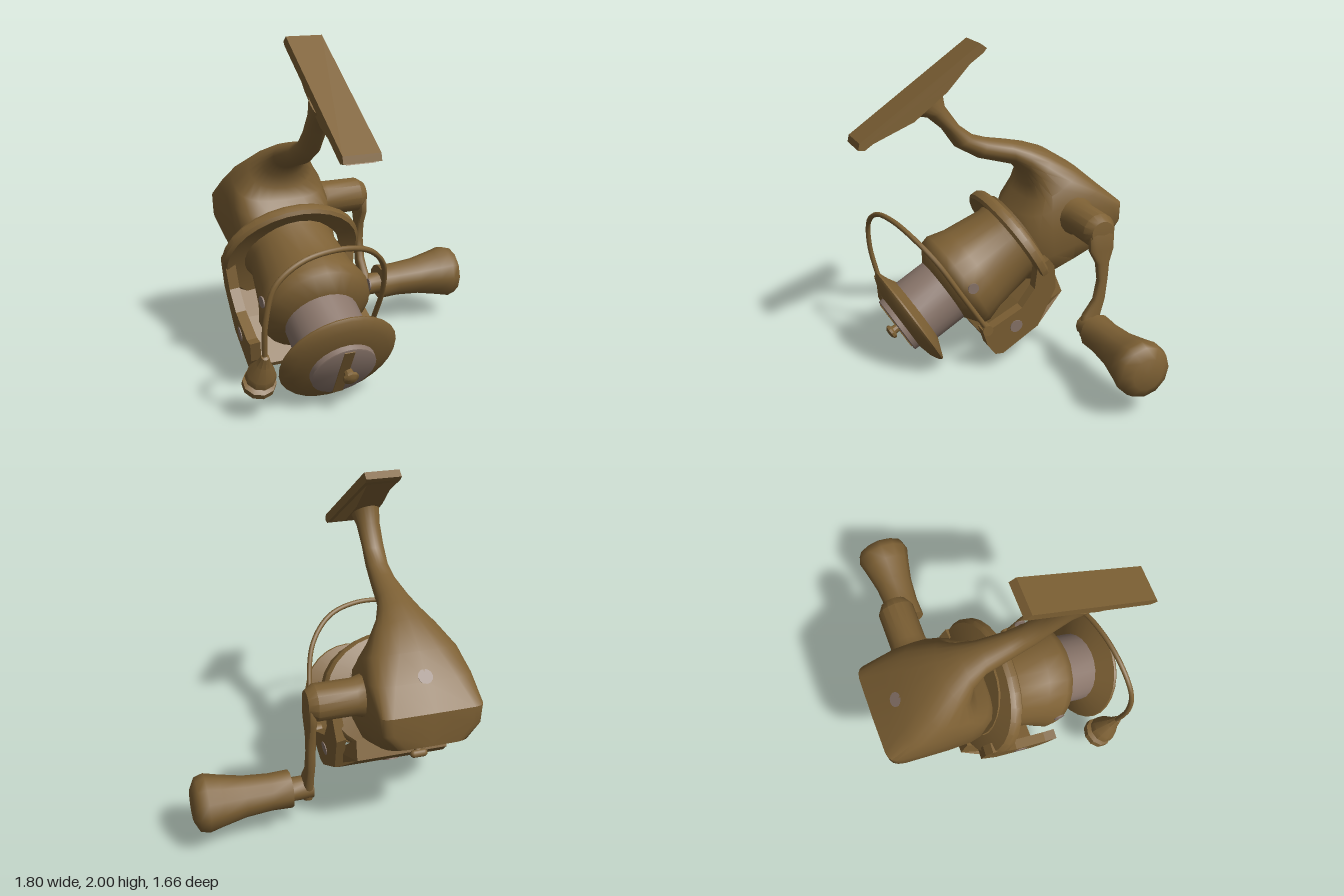
import * as THREE from 'three';
import { toCreasedNormals } from 'three/addons/utils/BufferGeometryUtils.js';

const CX = -0.37; // x of the reel's centre plane

const bronze = new THREE.MeshStandardMaterial({ color: 0x7d6034 });
bronze.name = 'bronze';
const silver = new THREE.MeshStandardMaterial({ color: 0x89756a });
silver.name = 'warm grey';

function add(parent, name, geometry, material = bronze) {
  const mesh = new THREE.Mesh(geometry, material);
  mesh.name = name;
  parent.add(mesh);
  return mesh;
}

// Revolved profile of [radius, height], height ascending along y
function lathe(profile, sides = 24, crease = 0.6) {
  const pts = profile.map(([r, h]) => new THREE.Vector2(r, h));
  return toCreasedNormals(new THREE.LatheGeometry(pts, sides), crease);
}

// Side profile of [z, y] extruded symmetrically along x
function sidePlate(points, width) {
  const shape = new THREE.Shape(points.map(([a, b]) => new THREE.Vector2(a, b)));
  const geo = new THREE.ExtrudeGeometry(shape, { depth: width, bevelEnabled: false });
  return geo.translate(0, 0, -width / 2).rotateY(-Math.PI / 2);
}

// Loft through levels [frontZ, frontY, backZ, backY, halfWidth, back squareness], bottom to top
function loft(levels, sides = 24, crease = 0.7) {
  const pos = [], index = [];
  const rounded = (c, n) => Math.sign(c) * Math.pow(Math.abs(c), 2 / n);
  for (const [fz, fy, bz, by, hw, n = 2] of levels) {
    for (let i = 0; i < sides; i++) {
      const a = (i / sides) * Math.PI * 2;
      const m = Math.cos(a) > 0 ? Math.min(n, 3) : n;
      const c = rounded(Math.cos(a), m), s = rounded(Math.sin(a), m);
      pos.push(hw * s, (fy + by) / 2 + ((fy - by) / 2) * c, (fz + bz) / 2 + ((fz - bz) / 2) * c);
    }
  }
  const last = levels.length - 1, bottom = pos.length / 3, top = bottom + 1;
  for (const l of [levels[0], levels[last]]) pos.push(0, (l[1] + l[3]) / 2, (l[0] + l[2]) / 2);
  for (let i = 0; i < sides; i++) {
    const j = (i + 1) % sides;
    for (let k = 0; k < last; k++) {
      const a = k * sides + i, b = k * sides + j, c = b + sides, d = a + sides;
      index.push(a, b, d, c, d, b);
    }
    index.push(bottom, j, i, top, last * sides + i, last * sides + j);
  }
  const geo = new THREE.BufferGeometry();
  geo.setAttribute('position', new THREE.Float32BufferAttribute(pos, 3));
  geo.setIndex(index);
  return toCreasedNormals(geo, crease);
}

// Thin round plate facing the given direction
function dot(parent, position, normal, radius = 0.043) {
  const mesh = add(parent, 'screwCap', new THREE.CylinderGeometry(radius, radius, 0.008, 12), silver);
  mesh.position.set(...position);
  mesh.quaternion.setFromUnitVectors(new THREE.Vector3(0, 1, 0), new THREE.Vector3(...normal).normalize());
}

function buildBody() {
  const body = new THREE.Group();
  body.name = 'body';
  body.position.x = CX;

  // Gear housing blending into the stem
  add(body, 'housingAndStem', loft([
    [-0.25, 0.43, -0.77, 0.69, 0.17, 3],
    [-0.18, 0.47, -0.83, 0.73, 0.25, 5],
    [-0.13, 0.60, -0.835, 0.83, 0.305, 9],
    [-0.11, 0.80, -0.835, 0.94, 0.308, 10],
    [-0.16, 0.92, -0.70, 1.06, 0.305, 5],
    [-0.23, 1.00, -0.57, 1.18, 0.275, 3],
    [-0.25, 1.07, -0.40, 1.29, 0.20, 2.2],
    [-0.24, 1.14, -0.27, 1.34, 0.14],
    [-0.18, 1.21, -0.15, 1.37, 0.10],
    [0.05, 1.28, -0.01, 1.40, 0.075],
    [0.20, 1.37, 0.08, 1.43, 0.066],
    [0.28, 1.49, 0.17, 1.50, 0.066],
    [0.37, 1.57, 0.26, 1.63, 0.07],
    [0.50, 1.60, 0.28, 1.75, 0.085],
  ]));

  // Rod mounting foot
  add(body, 'footPlate', sidePlate([
    [0.83, 1.455], [0.82, 1.495], [0.07, 2.0], [0.03, 1.97], [0.05, 1.945], [0.79, 1.45],
  ], 0.21)).position.x = 0.01;
  add(body, 'footRidge', sidePlate([
    [0.81, 1.445], [0.79, 1.47], [0.46, 1.68], [0.06, 1.95], [0.27, 1.73], [0.48, 1.575],
  ], 0.16)).position.x = 0.01;

  // Small switch lever under the housing
  const lever = add(body, 'switchLever', new THREE.CapsuleGeometry(0.02, 0.08, 4, 10));
  lever.position.set(0, 0.59, -0.61);
  lever.rotation.x = 0.9;
  const tip = add(body, 'switchTip', new THREE.CapsuleGeometry(0.022, 0.06, 4, 10));
  tip.position.set(0, 0.565, -0.645);
  tip.rotation.z = Math.PI / 2;

  dot(body, [0, 1.078, -0.675], [0, 0.74, -0.67]);
  return body;
}

// Everything that turns on the spool axis, built along z and tipped forward
function buildRotorAndSpool() {
  const g = new THREE.Group();
  g.name = 'rotorAndSpool';
  g.position.set(CX, 0.3, 0.53);
  g.rotation.x = Math.PI / 6;
  const axial = (profile, sides, crease) => lathe(profile, sides, crease).rotateX(Math.PI / 2);

  // Spool
  add(g, 'rotorDrum', axial([
    [0, -0.88], [0.29, -0.88], [0.265, -0.76], [0.3, -0.5], [0.332, -0.39],
    [0.318, -0.335], [0.216, -0.265], [0, -0.265],
  ], 24, 1.2));
  add(g, 'spoolCore', axial([[0, -0.3], [0.217, -0.3], [0.217, -0.04], [0, -0.04]]), silver);
  add(g, 'spoolLip', axial([
    [0.2, -0.065], [0.336, -0.008], [0.342, 0.002], [0.33, 0.018], [0.28, 0.044], [0.188, 0.065], [0, 0.065],
  ], 28));
  add(g, 'dragFace', axial([[0.19, 0.055], [0.188, 0.095], [0.18, 0.1], [0, 0.1]]), silver);
  add(g, 'dragBar', new THREE.BoxGeometry(0.06, 0.35, 0.02)).position.set(-0.005, 0, 0.096);
  add(g, 'dragButton', axial([[0.025, 0.1], [0.028, 0.13], [0.045, 0.14], [0.045, 0.155], [0.025, 0.168], [0, 0.17]], 10))
    .position.x = 0.02;

  // Oval rotor collar
  add(g, 'rotorCollar', axial([
    [0.25, -0.87], [0.345, -0.85], [0.362, -0.825], [0.362, -0.785], [0.345, -0.768], [0.3, -0.78], [0.25, -0.79],
  ], 28)).scale.x = 1.18;

  // Rotor arms, leaning inwards below
  const arm = sidePlate([
    [-0.29, -0.15], [-0.265, -0.28], [-0.275, -0.38], [-0.32, -0.415], [-0.6, -0.415], [-0.82, -0.25],
    [-0.88, -0.1], [-0.87, -0.03], [-0.78, -0.03], [-0.7, -0.15], [-0.57, -0.21], [-0.35, -0.19],
  ], 0.06);
  for (const side of [-1, 1]) {
    const mesh = add(g, 'rotorArm', arm);
    mesh.position.x = side * 0.387;
    mesh.rotation.z = -side * 0.14;
    dot(g, [side * 0.376, -0.3, -0.48], [side, -0.14, 0]);
    dot(g, [side * 0.327, 0.08, -0.395], [side, 0, 0.1], 0.035);
  }

  // Cover joining the arms underneath, narrower and thicker towards the back
  const cover = sidePlate([
    [-0.3, -0.415], [-0.3, -0.385], [-0.6, -0.31], [-0.88, -0.25], [-0.86, -0.375], [-0.62, -0.416],
  ], 0.69);
  const p = cover.attributes.position;
  for (let i = 0; i < p.count; i++) p.setX(i, p.getX(i) * (1 + Math.min(0, p.getZ(i) + 0.62) * 0.75));
  cover.computeVertexNormals();
  add(g, 'rotorCover', cover);
  dot(g, [0, -0.417, -0.6], [0, -1, 0], 0.05);

  // Line roller at the end of the bail
  add(g, 'lineRoller', lathe([
    [0, -0.15], [0.06, -0.145], [0.093, -0.12], [0.093, -0.085], [0.06, -0.075], [0.085, -0.05],
    [0.08, -0.01], [0.04, 0.07], [0.022, 0.13], [0, 0.14],
  ], 10)).position.x = -0.44;
  return g;
}

function buildBail() {
  const bail = new THREE.Group();
  bail.name = 'bail';
  const path = new THREE.CatmullRomCurve3([
    [-0.81, 0.40, 0.585], [-0.815, 0.62, 0.63], [-0.765, 0.81, 0.645], [-0.62, 0.915, 0.635], [-0.4, 0.945, 0.605],
    [-0.2, 0.90, 0.55], [-0.06, 0.77, 0.45], [0, 0.57, 0.33], [0.012, 0.33, 0.18],
  ].map((v) => new THREE.Vector3(...v)));
  add(bail, 'bailWire', new THREE.TubeGeometry(path, 48, 0.016, 8));
  const pivot = add(bail, 'bailPivot', new THREE.CylinderGeometry(0.035, 0.035, 0.06, 10));
  pivot.rotation.z = Math.PI / 2;
  pivot.position.set(0, 0.3, 0.165);
  return bail;
}

function buildHandle() {
  const handle = new THREE.Group();
  handle.name = 'handle';
  const sideways = (profile, sides, crease) => lathe(profile, sides, crease).rotateZ(-Math.PI / 2);

  // Shaft leaving the housing
  add(handle, 'handleShaft', sideways([
    [0.15, -0.14], [0.125, -0.08], [0.108, -0.02], [0.108, 0.2], [0.075, 0.25], [0, 0.257],
  ], 16)).position.set(0, 0.907, -0.492);

  // Crank arm
  add(handle, 'crankArm', loft([
    [-0.37, 0.235, -0.47, 0.235, 0.03, 3],
    [-0.355, 0.30, -0.485, 0.30, 0.034, 3],
    [-0.38, 0.38, -0.50, 0.38, 0.03, 3],
    [-0.45, 0.47, -0.525, 0.47, 0.028, 3],
    [-0.475, 0.60, -0.54, 0.60, 0.027, 3],
    [-0.46, 0.71, -0.548, 0.71, 0.027, 3],
    [-0.41, 0.80, -0.575, 0.80, 0.03, 3],
    [-0.41, 0.89, -0.575, 0.89, 0.03, 3],
    [-0.44, 0.97, -0.545, 0.97, 0.01, 3],
  ], 16)).position.x = 0.228;

  // Grip
  add(handle, 'gripBoss', sideways([[0, 0.2], [0.07, 0.2], [0.07, 0.34]], 12)).position.set(0, 0.3, -0.42);
  add(handle, 'grip', sideways([
    [0, 0.325], [0.112, 0.33], [0.108, 0.45], [0.12, 0.6], [0.15, 0.74], [0.17, 0.82],
    [0.155, 0.872], [0.095, 0.902], [0, 0.906],
  ], 12, 1.0)).position.set(0, 0.308, -0.42);
  return handle;
}

export function createModel() {
  const model = new THREE.Group();
  model.name = 'spinningReel';
  model.add(buildBody(), buildRotorAndSpool(), buildBail(), buildHandle());
  return model;
}
